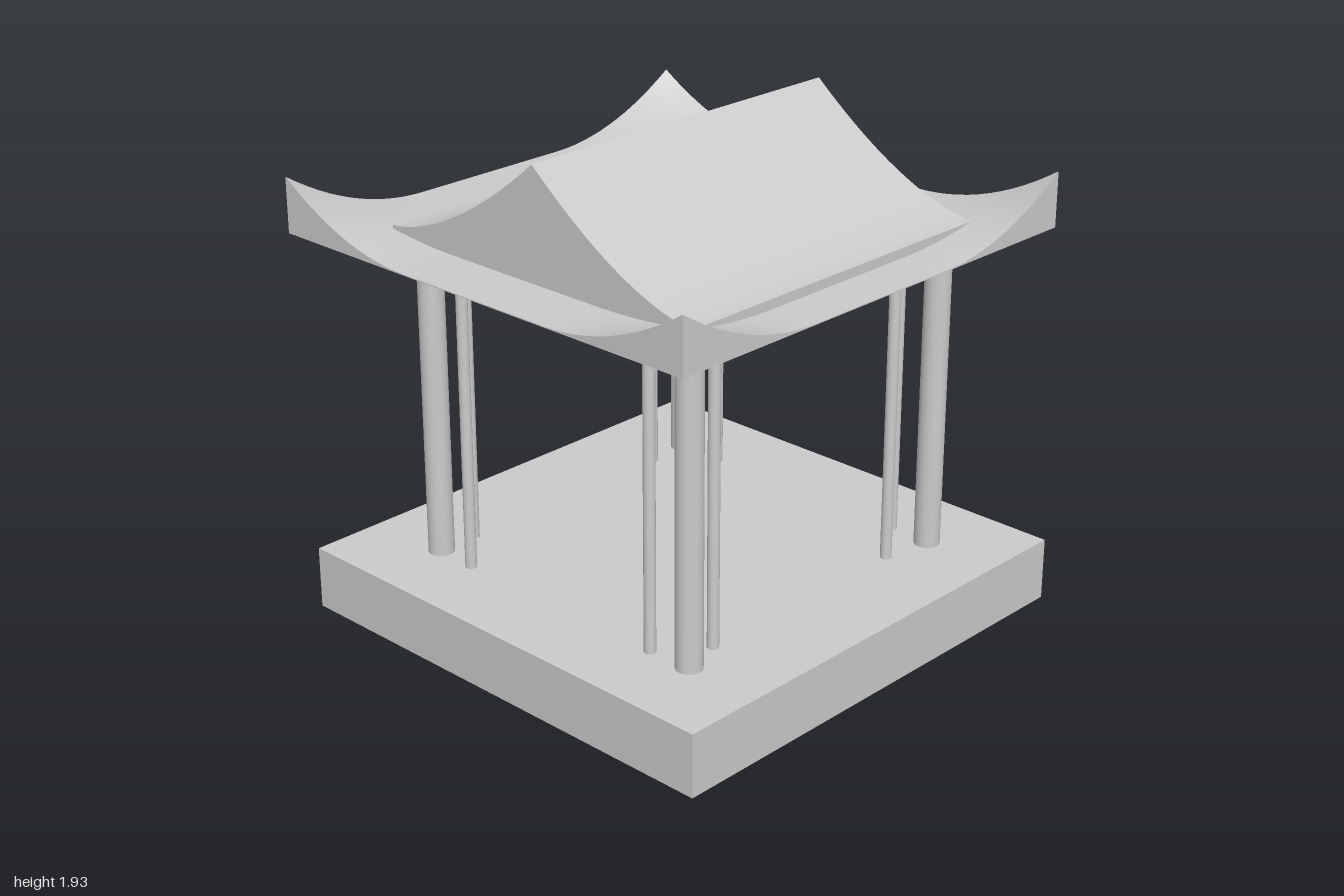
import * as THREE from 'three';

const mat = new THREE.MeshStandardMaterial({ color: 0xcccccc });

function add(group, name, geometry, x = 0, y = 0, z = 0) {
  const mesh = new THREE.Mesh(geometry, mat);
  mesh.name = name;
  mesh.position.set(x, y, z);
  group.add(mesh);
  return mesh;
}

// Height of the eaves: flat in the middle, sweeping up only at the corners
function eaveLift(x, z) {
  const ease = (v) => Math.max(0, (Math.abs(v) - 0.35) / 0.63) ** 2;
  return 0.21 * ease(x) * ease(z);
}

// Flat-bottomed slab whose top face follows eaveLift
function eavesGeometry(size) {
  const n = 40;
  const geo = new THREE.BoxGeometry(size, 0.004, size, n, 1, n);
  const p = geo.attributes.position;
  for (let i = 0; i < p.count; i++) {
    if (p.getY(i) > 0) p.setY(i, 0.002 + eaveLift(p.getX(i), p.getZ(i)));
  }
  const sideNormals = geo.attributes.normal.clone();
  geo.computeVertexNormals();
  // keep the vertical sides and underside flat
  const nor = geo.attributes.normal;
  for (let i = 0; i < p.count; i++) {
    if (sideNormals.getY(i) < 0.5) {
      nor.setXYZ(i, sideNormals.getX(i), sideNormals.getY(i), sideNormals.getZ(i));
    }
  }
  return geo;
}

// Gable section with concave slopes, extruded along x
function gableGeometry(width, half, rim, rise) {
  const steps = 24;
  const shape = new THREE.Shape();
  shape.moveTo(-half, 0);
  shape.lineTo(half, 0);
  for (let i = 0; i <= 2 * steps; i++) {
    const u = 1 - i / steps;
    shape.lineTo(u * half, rim + rise * (1 - Math.abs(u)) ** 1.63);
  }
  shape.closePath();
  const geo = new THREE.ExtrudeGeometry(shape, { depth: width, bevelEnabled: false });
  geo.translate(0, 0, -width / 2);
  geo.rotateY(Math.PI / 2);
  return geo;
}

export function createModel() {
  const model = new THREE.Group();

  // Floor plinth
  add(model, 'base', new THREE.BoxGeometry(1.96, 0.245, 1.95), 0, 0.1225, 0.025);

  // Each corner: one thick column with two slender posts, one inward along each axis
  const floor = 0.245, top = 1.42, h = top - floor, mid = (floor + top) / 2;
  const columnGeo = new THREE.CylinderGeometry(0.05, 0.05, h, 32);
  const postGeo = new THREE.CylinderGeometry(0.022, 0.022, h, 24);
  const corners = [
    // column x, z; side post x, z; depth post x, z
    ['frontRight', -0.668, 0.69, -0.505, 0.65, -0.68, 0.513],
    ['frontLeft', 0.653, 0.685, 0.45, 0.65, 0.655, 0.51],
    ['backLeft', 0.653, -0.597, 0.465, -0.59, 0.65, -0.4],
    ['backRight', -0.668, -0.6, -0.505, -0.6, -0.68, -0.42],
  ];
  for (const [name, cx, cz, sx, sz, dx, dz] of corners) {
    const corner = new THREE.Group();
    corner.name = name + 'Supports';
    add(corner, 'column', columnGeo, cx, mid, cz);
    add(corner, 'sidePost', postGeo, sx, mid, sz);
    add(corner, 'depthPost', postGeo, dx, mid, dz);
    model.add(corner);
  }

  // Roof: ceiling plate, upswept eaves and gabled ridge
  add(model, 'ceilingPlate', new THREE.BoxGeometry(1.47, 0.08, 1.47), -0.005, 1.46, 0.035);
  add(model, 'eaves', eavesGeometry(1.96), -0.005, 1.501, -0.02);
  add(model, 'gableRoof', gableGeometry(1.47, 0.74, 0.04, 0.39), -0.005, 1.5, 0.03);

  return model;
}
